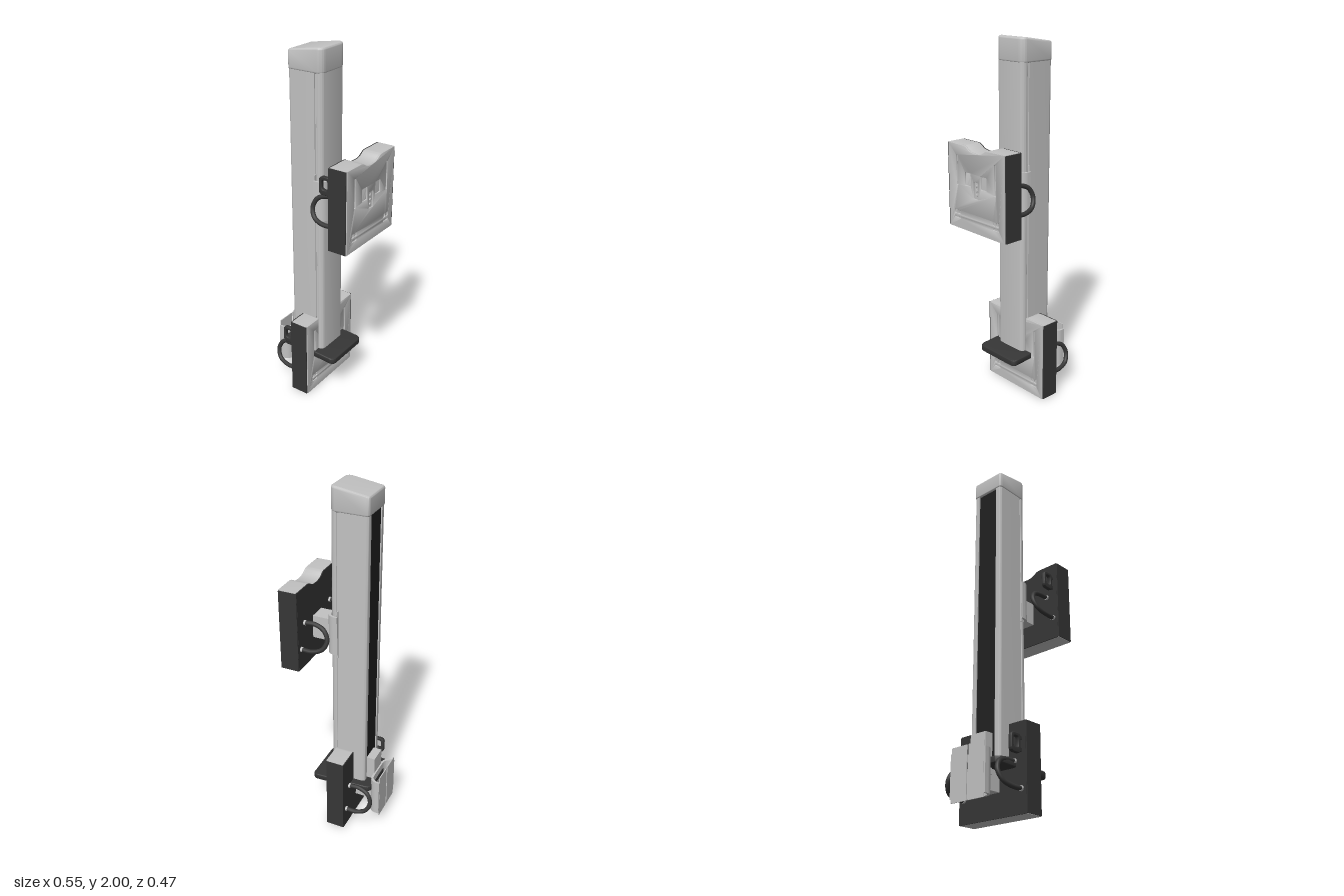
import * as THREE from 'three';
import { toCreasedNormals } from 'three/addons/utils/BufferGeometryUtils.js';

export function createModel() {
  const mat = (name, color) => {
    const m = new THREE.MeshStandardMaterial({ color });
    m.name = name;
    return m;
  };
  const grey = mat('light grey', 0xc2c2c2);
  const dark = mat('dark grey', 0x363636);
  const black = mat('black', 0x202020);

  const model = new THREE.Group();
  model.name = 'columnStand';

  const add = (parent, name, geo, material) => {
    const m = new THREE.Mesh(geo, material);
    m.name = name;
    parent.add(m);
    return m;
  };
  // box given by its limits
  const box = (parent, name, material, x0, x1, y0, y1, z0, z1) => {
    const m = add(parent, name, new THREE.BoxGeometry(x1 - x0, y1 - y0, z1 - z0), material);
    m.position.set((x0 + x1) / 2, (y0 + y1) / 2, (z0 + z1) / 2);
    return m;
  };
  // rectangle with separate corner radii on the left (rl) and right (rr)
  const roundRect = (x0, x1, y0, y1, rl, rr, Type = THREE.Shape) => {
    const s = new Type();
    s.moveTo(x0 + rl, y0);
    s.lineTo(x1 - rr, y0);
    s.absarc(x1 - rr, y0 + rr, rr, -Math.PI / 2, 0);
    s.lineTo(x1, y1 - rr);
    s.absarc(x1 - rr, y1 - rr, rr, 0, Math.PI / 2);
    s.lineTo(x0 + rl, y1);
    s.absarc(x0 + rl, y1 - rl, rl, Math.PI / 2, Math.PI);
    s.lineTo(x0, y0 + rl);
    s.absarc(x0 + rl, y0 + rl, rl, Math.PI, Math.PI * 1.5);
    return s;
  };
  const extrude = (shape, depth, bevel = 0) => new THREE.ExtrudeGeometry(shape, {
    depth: depth - 2 * bevel, bevelEnabled: bevel > 0, bevelSize: bevel,
    bevelThickness: bevel, bevelOffset: -bevel, bevelSegments: 4, curveSegments: 10,
  }).translate(0, 0, bevel);
  // plan outline (x, -z) raised from y0 to y1
  const upright = (shape, y0, y1, bevel) =>
    extrude(shape, y1 - y0, bevel).rotateX(-Math.PI / 2).translate(0, y0, 0);
  const smooth = (geo) => toCreasedNormals(geo, 0.6);

  // ---- column -------------------------------------------------------------
  const column = new THREE.Group();
  column.name = 'column';
  column.position.z = 0.006;
  model.add(column);

  // main body with a shallow channel down its rear
  const body = new THREE.Shape();
  body.moveTo(-0.01, -0.1);
  body.lineTo(-0.01, 0.1);
  body.lineTo(-0.155, 0.1);
  body.quadraticCurveTo(-0.172, 0.1, -0.172, 0.084);
  body.lineTo(-0.172, 0.066);
  body.lineTo(-0.158, 0.066);
  body.lineTo(-0.158, -0.066);
  body.lineTo(-0.172, -0.066);
  body.lineTo(-0.172, -0.084);
  body.quadraticCurveTo(-0.172, -0.1, -0.155, -0.1);
  add(column, 'columnBody', smooth(upright(body, 0.26, 1.88)), grey);
  box(column, 'railStrip', black, -0.166, -0.157, 0.27, 1.875, -0.066, 0.066);
  box(column, 'columnCore', grey, -0.03, 0.01, 0.26, 1.88, -0.094, 0.094);
  add(column, 'columnFrontCover',
    smooth(upright(roundRect(0, 0.035, -0.1, 0.1, 0.001, 0.028), 0.26, 1.88)), grey);

  // cap with a gently rising top
  const cap = upright(roundRect(-0.175, 0.037, -0.103, 0.103, 0.016, 0.035), 1.87, 1.985, 0.012);
  const p = cap.attributes.position;
  for (let i = 0; i < p.count; i++) {
    if (p.getY(i) < 1.93) continue;
    const x = p.getX(i);
    p.setY(i, p.getY(i) - 0.014 + 0.029 * THREE.MathUtils.smoothstep(x, -0.2, 0.026));
  }
  cap.computeVertexNormals();
  add(column, 'columnCap', smooth(cap), grey);

  // rear bracket and foot plate
  box(column, 'rearBracket', grey, -0.215, -0.165, 0.2, 0.41, -0.056, 0.046);
  const plate = upright(roundRect(-0.226, 0.14, -0.145, 0.145, 0.035, 0.03), 0.235, 0.27, 0.006);
  const q = plate.attributes.position;
  for (let i = 0; i < q.count; i++) {
    q.setY(i, q.getY(i) - 0.017 * THREE.MathUtils.smoothstep(q.getX(i), 0.02, 0.14));
  }
  plate.computeVertexNormals();
  add(column, 'footPlate', smooth(plate), dark);

  // ---- panel unit on a sliding carriage -------------------------------------
  function panelOutline(half) {
    const s = new THREE.Shape();
    s.moveTo(-half, 1.0);
    s.lineTo(half, 1.0);
    s.lineTo(half, 1.46);
    s.lineTo(0.1, 1.46);
    s.bezierCurveTo(0.06, 1.46, 0.07, 1.43, 0, 1.43);
    s.bezierCurveTo(-0.07, 1.43, -0.06, 1.46, -0.1, 1.46);
    s.lineTo(-half, 1.46);
    return s;
  }
  function makeUnit(name) {
    const unit = new THREE.Group();
    unit.name = name;

    // panel: grey shell, pierced front skin, dark sides and rear
    const sideways = (geo, x) => smooth(geo.rotateY(Math.PI / 2).translate(x, 0, 0));
    add(unit, 'panelShell', sideways(extrude(panelOutline(0.224), 0.1, 0.004), 0.166), grey);
    const skin = panelOutline(0.22);
    const hole = (a, b, c, d) => skin.holes.push(roundRect(a, b, c, d, 0.002, 0.002, THREE.Path));
    for (const s of [-1, 1]) {
      const pair = (a, b, c, d) => hole(Math.min(s * a, s * b), Math.max(s * a, s * b), c, d);
      pair(0.04, 0.085, 1.25, 1.32);
      pair(0.145, 0.155, 1.24, 1.4);
      pair(0.13, 0.175, 1.055, 1.065);
      pair(0.13, 0.148, 1.08, 1.1);
      pair(0.157, 0.175, 1.08, 1.1);
    }
    hole(-0.018, 0.018, 1.19, 1.28);
    add(unit, 'panelFrontSkin', sideways(extrude(skin, 0.011, 0.002), 0.261), grey);
    for (const y of [1.21, 1.235, 1.26]) {
      const knob = add(unit, 'button', new THREE.CylinderGeometry(0.008, 0.008, 0.008, 14), grey);
      knob.rotation.z = Math.PI / 2;
      knob.position.set(0.268, y, 0);
    }
    const rear = panelOutline(0.222);
    add(unit, 'panelRear', sideways(extrude(rear, 0.005), 0.163), dark);
    for (const s of [-1, 1]) {
      box(unit, 'panelSide', dark, 0.164, 0.268, 1.002, 1.458, s * 0.225 - 0.003, s * 0.225 + 0.003);
      // slanted grab loop with collars
      const pts = [[0.165, 1.262, 0.15], [0.1, 1.262, 0.147], [0.045, 1.24, 0.155], [0.023, 1.19, 0.167],
        [0.045, 1.142, 0.183], [0.1, 1.122, 0.193], [0.165, 1.122, 0.193]];
      const path = new THREE.CatmullRomCurve3(pts.map(([x, y, z]) => new THREE.Vector3(x, y, s * z)));
      add(unit, 'grabLoop', new THREE.TubeGeometry(path, 48, 0.0125, 12), dark);
      for (const e of [pts[0], pts[6]]) {
        const collar = add(unit, 'loopCollar', new THREE.CylinderGeometry(0.014, 0.014, 0.012, 16), grey);
        collar.rotation.z = Math.PI / 2;
        collar.position.set(0.158, e[1], s * e[2]);
      }
    }

    // small ring handle on one side
    const ring = roundRect(0.085, 0.152, 1.29, 1.39, 0.022, 0.015);
    ring.holes.push(roundRect(0.102, 0.137, 1.318, 1.372, 0.012, 0.01, THREE.Path));
    add(unit, 'ringHandle', smooth(extrude(ring, 0.022, 0.004).translate(0, 0, 0.178)), dark);
    for (const y of [1.31, 1.37]) {
      box(unit, 'ringHandlePost', dark, 0.145, 0.168, y - 0.009, y + 0.009, 0.181, 0.197);
    }

    // support arm
    box(unit, 'supportArm', grey, 0.045, 0.166, 1.125, 1.255, -0.052, 0.05);

    // U-shaped carriage, open towards the rear
    const u = new THREE.Shape();
    u.moveTo(-0.01, -0.118);
    u.lineTo(0.01, -0.118);
    u.quadraticCurveTo(0.055, -0.112, 0.055, -0.06);
    u.lineTo(0.055, 0.06);
    u.quadraticCurveTo(0.055, 0.112, 0.01, 0.118);
    u.lineTo(-0.01, 0.118);
    u.lineTo(-0.01, 0.107);
    u.lineTo(0.005, 0.107);
    u.quadraticCurveTo(0.042, 0.1, 0.042, 0.06);
    u.lineTo(0.042, -0.06);
    u.quadraticCurveTo(0.042, -0.1, 0.005, -0.107);
    u.lineTo(-0.01, -0.107);
    add(unit, 'carriage', smooth(upright(u, 1.085, 1.31)), grey);
    for (const s of [-1, 1]) {
      box(unit, 'carriageBackPlate', grey, -0.011, -0.006, 1.065, 1.34, s * 0.057 - 0.052, s * 0.057 + 0.052);
    }
    return unit;
  }

  const upper = makeUnit('upperPanelUnit');
  upper.position.z = 0.005;
  const lower = makeUnit('lowerPanelUnit');
  lower.position.set(-0.266, -1, -0.007);
  model.add(upper, lower);
  return model;
}
